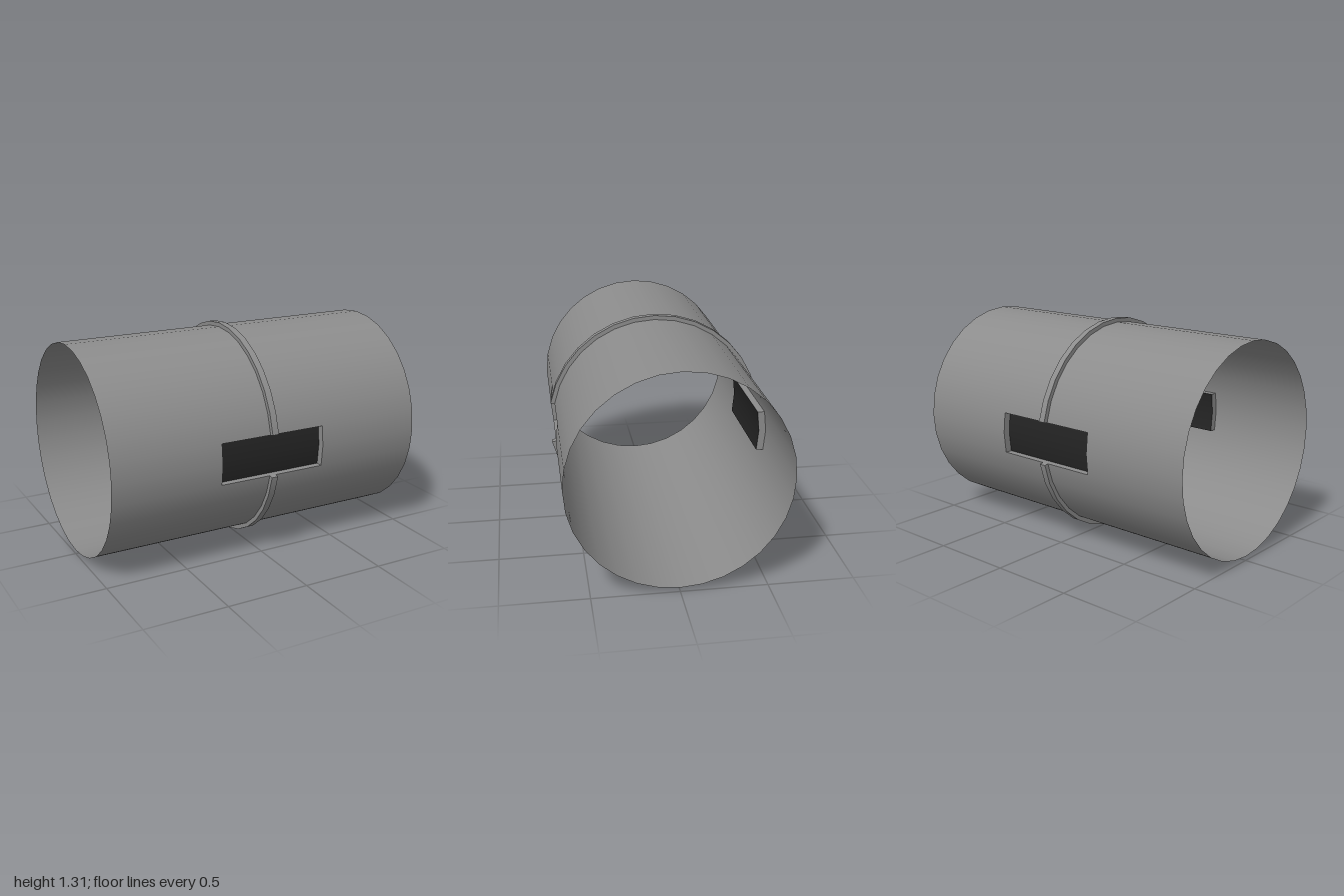
import * as THREE from 'three';

const R = 0.632;              // tube radius
const RING_R = 0.657;         // raised band radius
const RING_W = 0.04;          // band width
const SEGMENTS = 32;
const STEP = (Math.PI * 2) / SEGMENTS;
const WINDOW_W = 0.667;       // window length along the tube
const DEPTH = 0.042;          // window recess depth

const steel = new THREE.MeshStandardMaterial({ color: 0x8c8c8c, side: THREE.DoubleSide });
steel.name = 'grey steel';
const dark = new THREE.MeshStandardMaterial({ color: 0x242424, side: THREE.DoubleSide });
dark.name = 'dark panel';

// Curved sheet around the x axis; steps are counted from +z towards +y
function sheet(radius, length, startStep, steps) {
  return new THREE.CylinderGeometry(radius, radius, length, steps, 1, true, startStep * STEP, steps * STEP)
    .rotateZ(Math.PI / 2);
}

function add(parent, name, geometry, material, x = 0, y = 0, z = 0) {
  const mesh = new THREE.Mesh(geometry, material);
  mesh.name = name;
  mesh.position.set(x, y, z);
  parent.add(mesh);
  return mesh;
}

// Recessed window on the +z side
function makeWindow(name) {
  const group = new THREE.Group();
  group.name = name;
  const y = R * Math.sin(STEP);
  const z = R * Math.cos(STEP);
  add(group, 'windowPanel', sheet(R, WINDOW_W, -1, 2), dark, 0, 0, -DEPTH);

  // End walls follow the bent outline of the tube
  const outline = new THREE.Shape([
    [z, -y], [R, 0], [z, y], [z - DEPTH, y], [R - DEPTH, 0], [z - DEPTH, -y],
  ].map(([a, b]) => new THREE.Vector2(a, b)));
  for (const s of [-1, 1]) {
    const end = new THREE.ShapeGeometry(outline).rotateY(-Math.PI / 2);
    add(group, 'windowEndWall', end, steel, s * WINDOW_W / 2);
    const ledge = new THREE.PlaneGeometry(WINDOW_W, DEPTH).rotateX(s * Math.PI / 2);
    add(group, 'windowLedge', ledge, steel, 0, s * y, z - DEPTH / 2);
  }
  return group;
}

export function createModel() {
  const model = new THREE.Group();
  model.name = 'tubeSection';
  const body = new THREE.Group();
  body.name = 'body';
  body.position.y = RING_R;
  model.add(body);

  // Full tube at both ends
  const endLength = (2 - WINDOW_W) / 2;
  for (const s of [-1, 1]) {
    add(body, 'tubeEnd', sheet(R, endLength, 0, SEGMENTS), steel, s * (1 - endLength / 2));
  }

  // Upper and lower halves of the middle, leaving a window gap on each side
  const arc = SEGMENTS / 2 - 2;
  for (const start of [1, SEGMENTS / 2 + 1]) {
    add(body, 'tubeMiddle', sheet(R, WINDOW_W, start, arc), steel);
    add(body, 'bandOuter', sheet(RING_R, RING_W, start, arc), steel);
    for (const s of [-1, 1]) {
      const side = new THREE.RingGeometry(R, RING_R, arc, 1, start * STEP, arc * STEP)
        .rotateY(-Math.PI / 2);
      if (s > 0) side.scale(1, 1, -1);
      add(body, 'bandSide', side, steel, s * RING_W / 2);
    }
    // Caps closing the band at the windows
    for (const step of [start, start + arc]) {
      const cap = new THREE.PlaneGeometry(RING_W, RING_R - R).rotateX(Math.PI / 2)
        .translate(0, 0, (R + RING_R) / 2);
      add(body, 'bandCap', cap, steel).rotation.x = -step * STEP;
    }
  }

  const front = makeWindow('frontWindow');
  const back = makeWindow('backWindow');
  back.rotation.y = Math.PI;
  body.add(front, back);
  return model;
}
